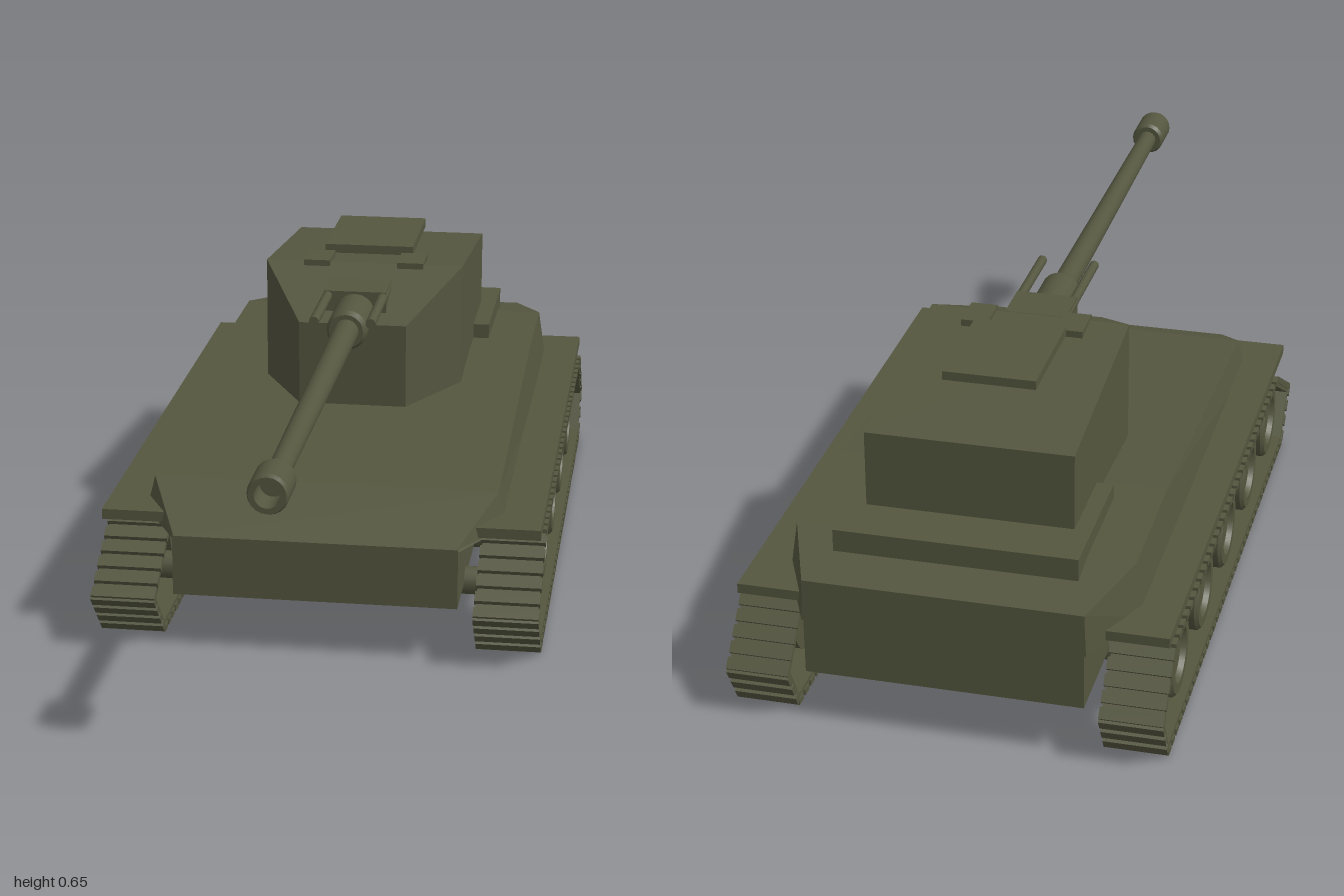
import * as THREE from 'three';
import { mergeGeometries } from 'three/addons/utils/BufferGeometryUtils.js';

const olive = new THREE.MeshStandardMaterial({ color: 0x54563f });
olive.name = 'olive paint';

function add(parent, name, geometry) {
  const mesh = new THREE.Mesh(geometry, olive);
  mesh.name = name;
  parent.add(mesh);
  return mesh;
}

// Box given by its limits on each axis
function block(x0, x1, y0, y1, z0, z1) {
  return new THREE.BoxGeometry(x1 - x0, y1 - y0, z1 - z0)
    .translate((x0 + x1) / 2, (y0 + y1) / 2, (z0 + z1) / 2);
}

// Flat-sided solid through mirrored sections: [z, bottom y, top y, bottom half width, top half width]
function loft(sections) {
  const rings = sections.map(([z, y0, y1, wb, wt]) =>
    [[-wb, y0, z], [wb, y0, z], [wt, y1, z], [-wt, y1, z]]);
  const points = [];
  const quad = (a, b, c, d) => points.push(...a, ...b, ...c, ...a, ...c, ...d);
  for (let k = 0; k < rings.length - 1; k++) {
    const p = rings[k], q = rings[k + 1];
    for (let j = 0; j < 4; j++) {
      const n = (j + 1) % 4;
      quad(p[j], p[n], q[n], q[j]);
    }
  }
  const back = rings[0];
  quad(back[3], back[2], back[1], back[0]);
  quad(...rings[rings.length - 1]);
  const geo = new THREE.BufferGeometry();
  geo.setAttribute('position', new THREE.Float32BufferAttribute(points, 3));
  geo.computeVertexNormals();
  return geo;
}

// Track outline as [z, y], counter-clockwise
const trackPath = [[-0.8, 0], [0.61, 0], [0.718, 0.115], [0.51, 0.237], [-0.745, 0.237], [-0.863, 0.11]]
  .map(([z, y]) => new THREE.Vector2(z, y));

function inset(path, d) {
  const normal = (a, b) => {
    const t = b.clone().sub(a).normalize();
    return new THREE.Vector2(-t.y, t.x);
  };
  return path.map((p, i) => {
    const n1 = normal(path[(i + path.length - 1) % path.length], p);
    const n2 = normal(p, path[(i + 1) % path.length]);
    return p.clone().addScaledVector(n1.clone().add(n2), d / (1 + n1.dot(n2)));
  });
}

function trackGeometry(width) {
  const shape = new THREE.Shape(inset(trackPath, 0.01));
  shape.holes.push(new THREE.Path(inset(trackPath, 0.024).reverse()));
  const band = new THREE.ExtrudeGeometry(shape, { depth: width - 0.006, bevelEnabled: false })
    .translate(0, 0, -(width - 0.006) / 2).rotateY(-Math.PI / 2);
  const parts = [band.index ? band.toNonIndexed() : band];
  // Tread pads along every straight run
  trackPath.forEach((a, i) => {
    const b = trackPath[(i + 1) % trackPath.length];
    const dir = b.clone().sub(a);
    const length = dir.length();
    dir.normalize();
    const count = Math.round(length / 0.038);
    for (let k = 0; k < count; k++) {
      const p = a.clone().addScaledVector(dir, (k + 0.5) * length / count);
      parts.push(new THREE.BoxGeometry(width, 0.014, 0.026)
        .rotateX(-Math.atan2(dir.y, dir.x))
        .translate(0, p.y + dir.x * 0.007, p.x - dir.y * 0.007).toNonIndexed());
    }
  });
  return mergeGeometries(parts);
}

// Turned part with sharp edges: each profile step is its own smooth band
function turned(profile, segments) {
  const bands = [];
  for (let i = 0; i < profile.length - 1; i++) {
    const pair = [profile[i], profile[i + 1]].map(([r, y]) => new THREE.Vector2(r, y));
    bands.push(new THREE.LatheGeometry(pair, segments));
  }
  return mergeGeometries(bands);
}

function buildSide(tank, side, label) {
  const group = new THREE.Group();
  group.name = label + 'RunningGear';
  tank.add(group);

  add(group, 'track', trackGeometry(0.136)).position.x = side * 0.4;
  add(group, 'fender', block(-0.07, 0.07, 0.252, 0.274, -0.78, 0.61)).position.x = side * 0.392;

  // Road wheels with a recessed disc and a raised hub
  const wheel = turned([[0, -0.04], [0.092, -0.04], [0.092, 0.026], [0.084, 0.034], [0.062, 0.034],
    [0.055, 0.022], [0, 0.022]], 24).rotateZ(-Math.PI / 2);
  const axle = new THREE.CylinderGeometry(0.03, 0.03, 0.12, 12).rotateZ(Math.PI / 2);
  for (let i = 0; i < 5; i++) {
    const z = -0.59 + i * 0.275;
    const w = add(group, 'roadWheel', wheel);
    w.position.set(side * 0.416, 0.117, z);
    if (side < 0) w.rotation.y = Math.PI;
    add(group, 'axle', axle).position.set(side * 0.33, 0.117, z);
  }
}

function buildTurret(tank) {
  const turret = new THREE.Group();
  turret.name = 'turret';
  tank.add(turret);

  add(turret, 'turretShell', loft([
    [-0.617, 0.36, 0.578, 0.225, 0.225],
    [-0.1, 0.36, 0.635, 0.225, 0.225],
    [0.1, 0.36, 0.548, 0.12, 0.12],
  ]));
  add(turret, 'roofHatch', block(-0.102, 0.102, 0.634, 0.654, -0.452, -0.184));
  add(turret, 'mantlet', block(-0.07, 0.07, 0.53, 0.612, -0.08, 0.06));

  for (const s of [-1, 1]) {
    add(turret, 'visionBlock', block(-0.03, 0.03, 0.6, 0.642, -0.175, -0.085)).position.x = s * 0.107;
    const rod = add(turret, 'recoilRod', new THREE.CylinderGeometry(0.011, 0.011, 0.35, 12).rotateX(Math.PI / 2));
    rod.position.set(s * 0.062, 0.6, 0.09);
  }

  // Gun from sleeve to hollow muzzle, turned around one axis
  const gun = new THREE.Group();
  gun.name = 'gun';
  gun.position.y = 0.562;
  turret.add(gun);
  const tube = (name, profile) => add(gun, name, turned(profile, 20).rotateX(Math.PI / 2));
  tube('gunSleeve', [[0.045, 0], [0.045, 0.19], [0.038, 0.205], [0, 0.205]]);
  tube('barrel', [[0.028, 0.2], [0.022, 1.17]]);
  tube('muzzle', [[0, 1.15], [0.034, 1.15], [0.04, 1.16], [0.04, 1.245], [0.036, 1.255], [0.025, 1.255],
    [0.025, 1.19], [0, 1.19]]);
}

export function createModel() {
  const model = new THREE.Group();
  model.name = 'tank';

  // The whole vehicle stands turned on the spot
  const tank = new THREE.Group();
  tank.name = 'vehicle';
  tank.rotation.y = THREE.MathUtils.degToRad(37);
  tank.position.set(0.043, 0, -0.033);
  model.add(tank);

  add(tank, 'lowerHull', block(-0.298, 0.298, 0.12, 0.25, -0.84, 0.682));
  add(tank, 'upperHull', loft([
    [-0.84, 0.245, 0.34, 0.302, 0.298],
    [-0.66, 0.245, 0.37, 0.385, 0.366],
    [-0.35, 0.245, 0.374, 0.385, 0.366],
    [0.515, 0.245, 0.32, 0.385, 0.366],
    [0.682, 0.245, 0.25, 0.298, 0.295],
  ]));
  add(tank, 'engineDeck', block(-0.262, 0.262, 0.35, 0.407, -0.737, -0.41));

  buildSide(tank, 1, 'left');
  buildSide(tank, -1, 'right');
  buildTurret(tank);
  return model;
}
